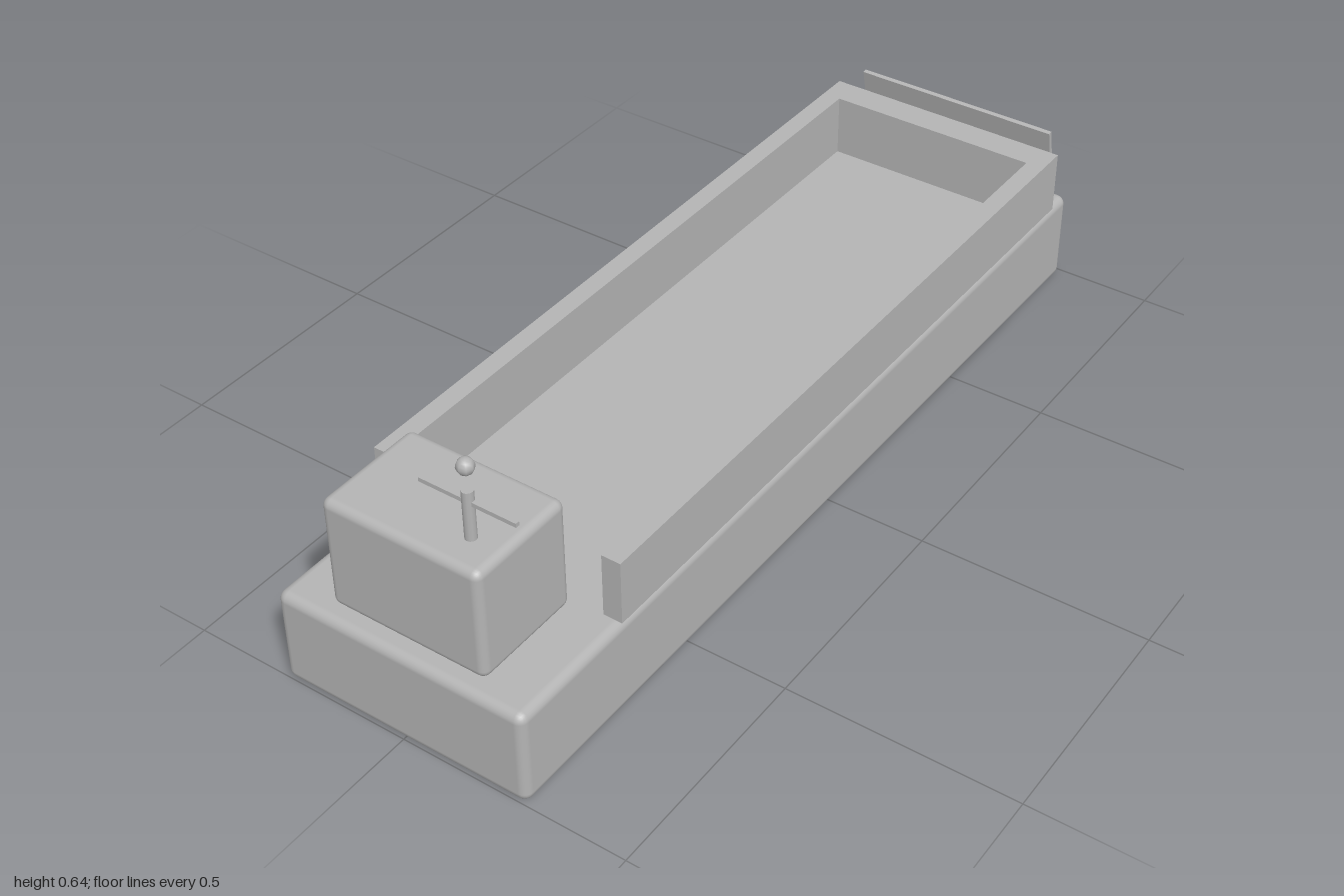
import * as THREE from 'three';
import { RoundedBoxGeometry } from 'three/addons/geometries/RoundedBoxGeometry.js';

export function createModel() {
  const group = new THREE.Group();
  const grey = new THREE.MeshStandardMaterial({ color: 0xb4b4b4 });
  grey.name = 'hull grey';

  const add = (name, geometry, x, y, z) => {
    const mesh = new THREE.Mesh(geometry, grey);
    mesh.name = name;
    mesh.position.set(x, y, z);
    group.add(mesh);
    return mesh;
  };

  // Barge hull and wheelhouse, both with softened edges
  add('hull', new RoundedBoxGeometry(0.57, 0.213, 1.992, 3, 0.02), 0, 0.1075, 0.004);
  add('wheelhouse', new RoundedBoxGeometry(0.356, 0.248, 0.245, 3, 0.018), 0, 0.339, 0.842);

  // U-shaped cargo wall, open towards the wheelhouse; shape y becomes -z
  const outer = 0.285, inner = 0.243, open = -0.71, shut = 0.92, shutInner = 0.852;
  const plan = new THREE.Shape([
    [-outer, open], [-inner, open], [-inner, shutInner], [inner, shutInner],
    [inner, open], [outer, open], [outer, shut], [-outer, shut],
  ].map(([x, y]) => new THREE.Vector2(x, y)));
  const wall = new THREE.ExtrudeGeometry(plan, { depth: 0.142, bevelEnabled: false });
  wall.rotateX(-Math.PI / 2);
  add('cargoWall', wall, 0, 0.215, 0);

  // Leaning ramp plate at the far end
  const ramp = add('ramp', new THREE.BoxGeometry(0.485, 0.162, 0.01), 0, 0.3, -0.9775);
  ramp.rotation.x = 0.213;

  // Mast with crossbar and a floating lamp
  const mastX = 0.106, mastZ = 0.892;
  add('mast', new THREE.CylinderGeometry(0.012, 0.012, 0.108, 12), mastX, 0.516, mastZ);
  add('crossbar', new THREE.BoxGeometry(0.213, 0.009, 0.009), mastX, 0.5445, mastZ);
  add('lamp', new THREE.SphereGeometry(0.0175, 8, 8), mastX, 0.621, mastZ);

  return group;
}
